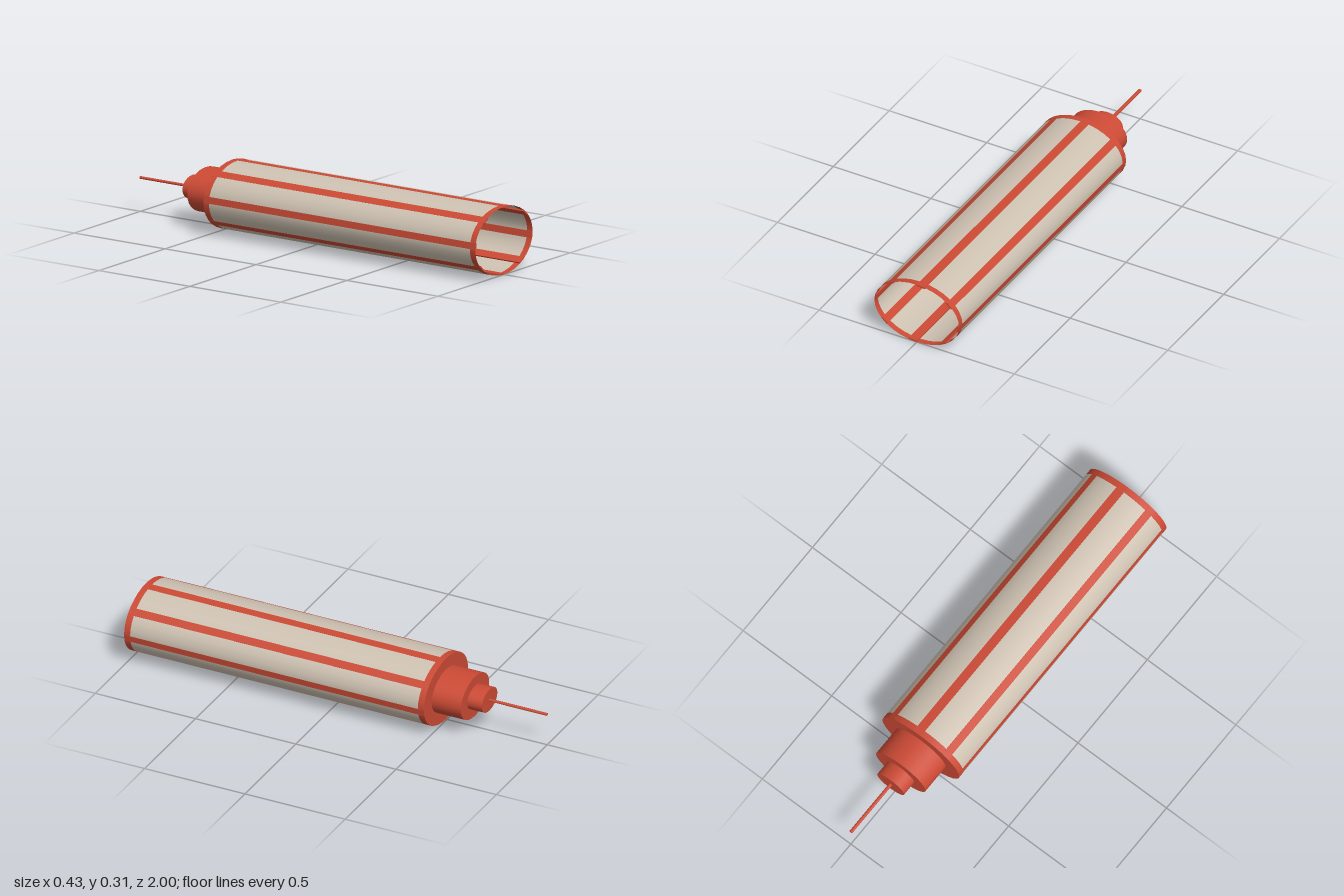
import * as THREE from 'three';

const RX = 0.217, RY = 0.155, CY = 0.155, SIDES = 32;
const BACK = -0.495, FRONT = 1, BAND = 0.03;

export function createModel() {
  const model = new THREE.Group();
  const red = new THREE.MeshStandardMaterial({ color: 0xcc4a35 });
  const redShell = new THREE.MeshStandardMaterial({ color: 0xcc4a35, side: THREE.DoubleSide });
  const beige = new THREE.MeshStandardMaterial({ color: 0xcec2b2, side: THREE.DoubleSide });
  red.name = 'red frame';
  redShell.name = 'red sheet';
  beige.name = 'beige panel';

  const add = (name, geometry, material) => {
    const mesh = new THREE.Mesh(geometry, material);
    mesh.name = name;
    model.add(mesh);
    return mesh;
  };

  // Elliptical cylinder running along z
  const tube = (rx, ry, z0, z1, open, start = 0, facets = SIDES) => {
    const step = (Math.PI * 2) / SIDES;
    return new THREE.CylinderGeometry(1, 1, z1 - z0, facets, 1, open, start * step, facets * step)
      .rotateX(Math.PI / 2)
      .scale(rx, ry, 1)
      .translate(0, CY, (z0 + z1) / 2);
  };

  // Point on the hull outline, angle measured from +x
  const rim = (a) => new THREE.Vector2(RX * Math.cos(a), CY + RY * Math.sin(a));

  // End bands and the closing plate at the back
  add('frontBand', tube(RX, RY, FRONT - BAND, FRONT, true), redShell);
  add('backBand', tube(RX, RY, BACK, BACK + BAND, true), redShell);
  const plate = new THREE.CircleGeometry(1, SIDES).scale(RX, RY, 1).translate(0, CY, BACK);
  add('backPlate', plate, redShell);

  // Eight panels, each separated by a lengthwise rib one facet wide
  const depth = 0.007;
  for (let i = 0; i < 8; i++) {
    const a = (i * Math.PI) / 4;
    const p = rim(a), q = rim(a - (Math.PI * 2) / SIDES);
    const d = p.clone().sub(q);
    const rib = add('rib', new THREE.BoxGeometry(d.length(), depth, FRONT - BACK), red);
    const outward = new THREE.Vector2(-d.y, d.x).normalize();
    const mid = p.clone().add(q).multiplyScalar(0.5);
    if (outward.dot(mid.clone().sub(new THREE.Vector2(0, CY))) < 0) outward.negate();
    mid.addScaledVector(outward, 0.0004 - depth / 2);
    rib.position.set(mid.x, mid.y, (FRONT + BACK) / 2);
    rib.rotation.z = Math.atan2(d.y, d.x);

    // Cylinder angles start at the bottom of the ellipse and run counter-clockwise
    add('panel', tube(RX, RY, BACK + BAND, FRONT - BAND, true, i * 4, 3), beige);
  }

  // Stepped tail and its needle
  add('tailLarge', tube(0.14, 0.1, -0.64, BACK, false), red);
  add('tailSmall', tube(0.076, 0.054, -0.713, -0.64, false), red);
  add('needle', tube(0.008, 0.006, -1, -0.713, false), red);
  return model;
}
